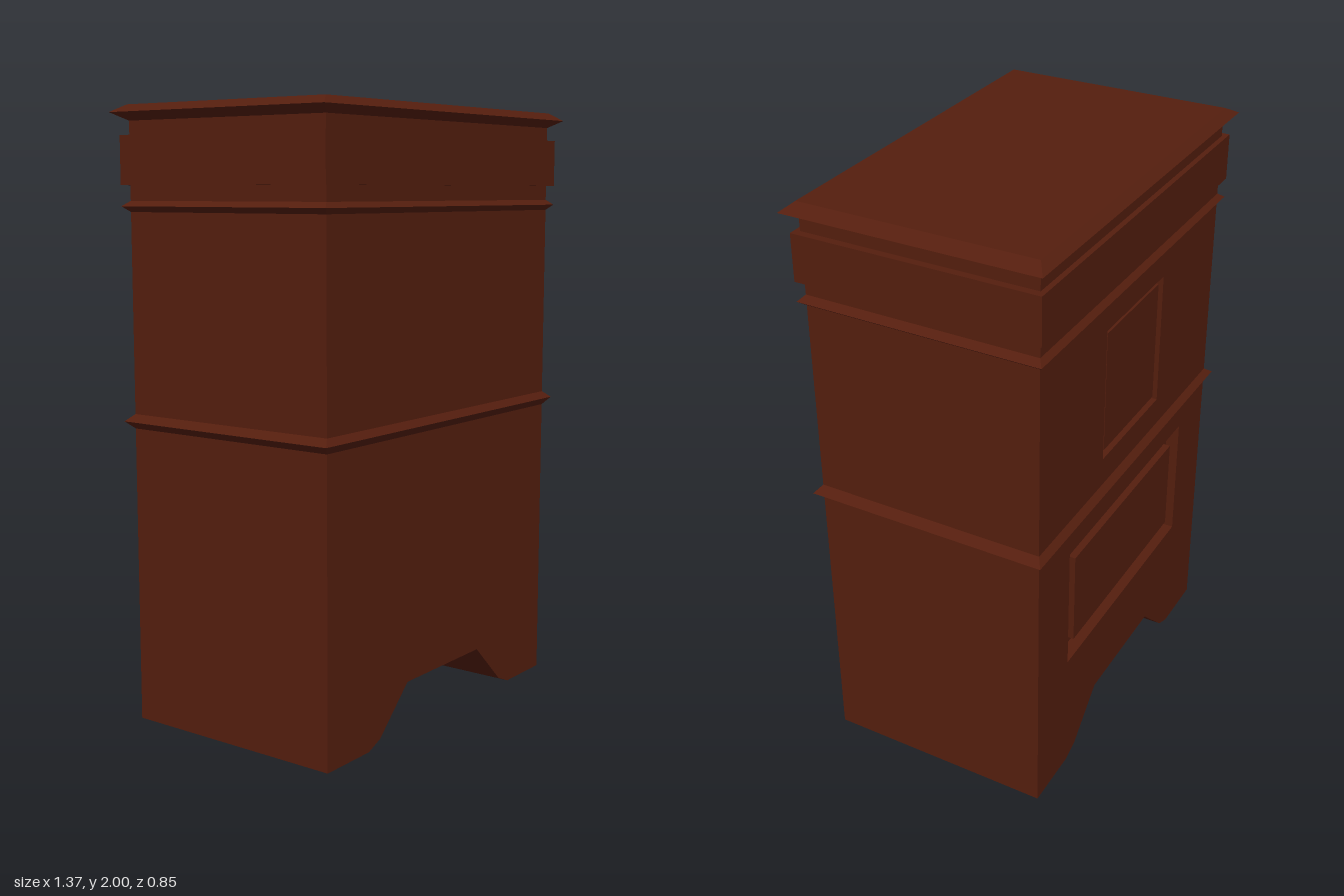
import * as THREE from 'three';

const W = 0.63, D = 0.39, H = 1.96;      // body half width, half depth, height
const SIDE = 0.03, BACK = 0.045;         // recess depths
const material = new THREE.MeshStandardMaterial({ color: 0x551e0e, flatShading: true });

function rectHole(x0, x1, y0, y1) {
  return new THREE.Path([[x0, y0], [x0, y1], [x1, y1], [x1, y0]].map(p => new THREE.Vector2(...p)));
}

// Cabinet outline with the arched cut-out between the feet
function archShape(w) {
  const half = [[0.21, 0.17], [0.36, 0.025], [0.42, 0], [w, 0], [w, H]];
  const pts = [...half, ...half.map(([x, y]) => [-x, y]).reverse()];
  return new THREE.Shape(pts.map(p => new THREE.Vector2(...p)));
}

function extrude(shape, depth) {
  return new THREE.ExtrudeGeometry(shape, { depth, bevelEnabled: false });
}

// Stacked rectangles [y, halfWidth, halfDepth], from bottom to top, joined and capped
function loft(rects) {
  const corners = [[1, 1], [1, -1], [-1, -1], [-1, 1]];
  const rings = rects.map(([y, hx, hz]) => corners.map(([sx, sz]) => [sx * hx, y, sz * hz]));
  const pos = [];
  const quad = (a, b, c, d) => [a, b, c, a, c, d].forEach(v => pos.push(...v));
  for (let i = 0; i < rings.length - 1; i++) {
    for (let k = 0; k < 4; k++) {
      const n = (k + 1) % 4;
      quad(rings[i][k], rings[i][n], rings[i + 1][n], rings[i + 1][k]);
    }
  }
  quad(...rings[rings.length - 1]);
  quad(...[...rings[0]].reverse());
  const geo = new THREE.BufferGeometry();
  geo.setAttribute('position', new THREE.Float32BufferAttribute(pos, 3));
  geo.computeVertexNormals();
  return geo;
}

export function createModel() {
  const group = new THREE.Group();
  const add = (name, geo) => {
    const mesh = new THREE.Mesh(geo, material);
    mesh.name = name;
    group.add(mesh);
    return mesh;
  };

  // Body core: its sides form the floors of the side recesses
  add('body', extrude(archShape(W - SIDE), 2 * D - BACK).translate(0, 0, BACK - D));

  // Side walls with two recessed panels each
  for (const s of [-1, 1]) {
    const z0 = -D + BACK;
    const wall = new THREE.Shape([[z0, 0], [D, 0], [D, H], [z0, H]].map(([z, y]) => new THREE.Vector2(-z, y)));
    wall.holes.push(rectHole(-0.13, 0.13, 0.445, 0.89), rectHole(-0.13, 0.13, 1.13, 1.56));
    const geo = extrude(wall, SIDE).rotateY(Math.PI / 2);
    geo.translate(s > 0 ? W - SIDE : -W, 0, 0);
    add(s > 0 ? 'leftWall' : 'rightWall', geo);
  }

  // Back wall with two openings, each holding a raised panel
  const back = archShape(W);
  back.holes.push(rectHole(-0.425, 0.425, 0.445, 0.89), rectHole(-0.205, 0.205, 1.12, 1.58));
  add('backWall', extrude(back, BACK).translate(0, 0, -D));
  for (const [name, hx, y0, y1] of [['lowerBackPanel', 0.37, 0.5, 0.835], ['upperBackPanel', 0.185, 1.14, 1.56]]) {
    const panel = add(name, new THREE.BoxGeometry(2 * hx, y1 - y0, 0.045));
    panel.position.set(0, (y0 + y1) / 2, -D + 0.03);
  }

  // Pointed mouldings around the body
  add('middleMoulding', loft([[0.975, W, D], [1.0, 0.66, 0.41], [1.022, W, D]]));
  add('upperMoulding', loft([[1.667, W, D], [1.685, 0.655, 0.407], [1.702, W, D]]));

  // Frieze and top
  add('frieze', new THREE.BoxGeometry(1.31, 0.155, 0.815)).position.y = 1.828;
  add('top', loft([[1.95, W, D], [1.975, 0.683, 0.424], [2.0, 0.635, 0.393]]));

  return group;
}
